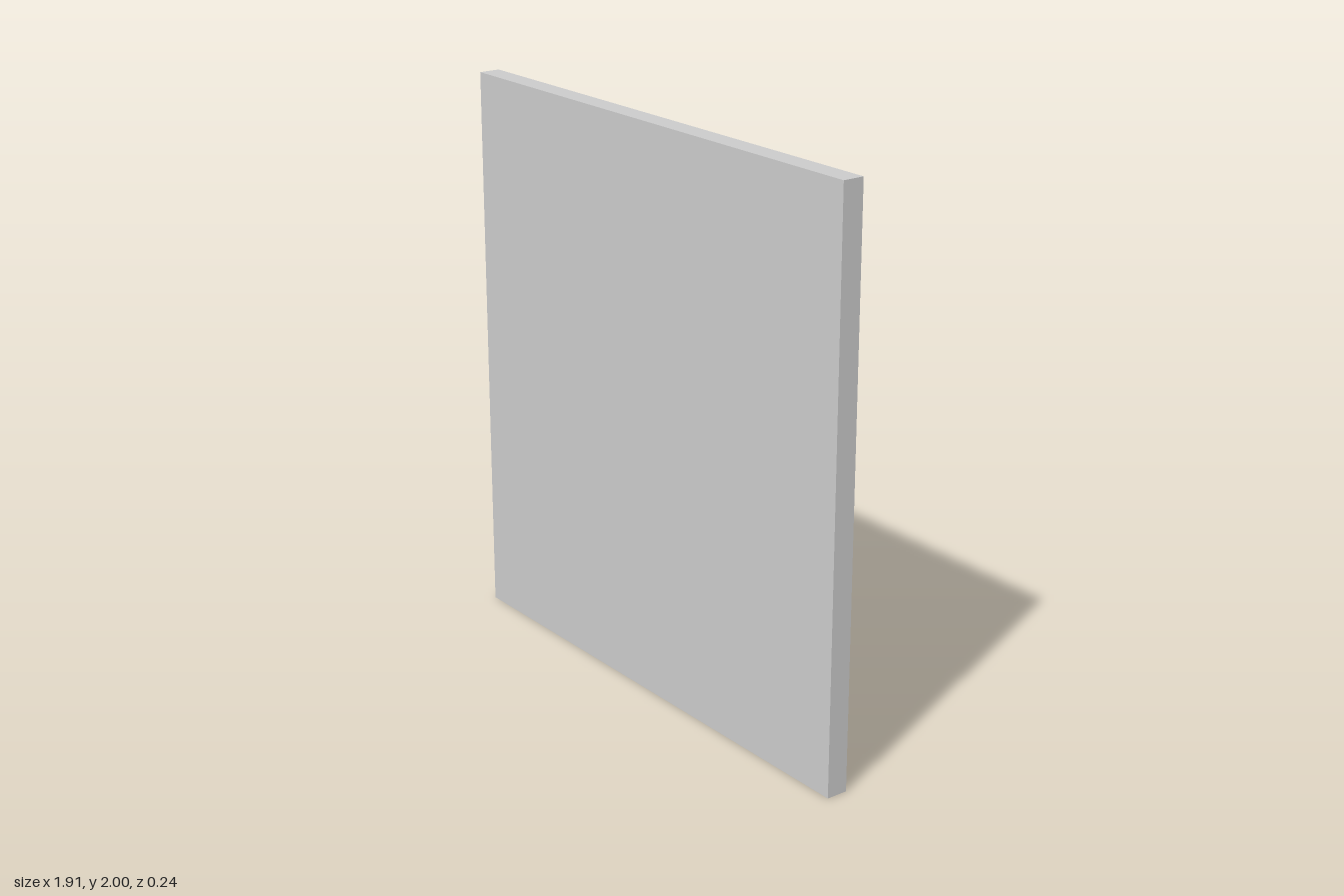
import * as THREE from 'three';

export function createModel() {
  const model = new THREE.Group();
  model.name = 'cabinetDoor';
  const material = new THREE.MeshStandardMaterial({ color: 0xcccccc, flatShading: true });

  // Flat door panel
  const panel = new THREE.Mesh(new THREE.BoxGeometry(1.91, 2, 0.076), material);
  panel.name = 'doorPanel';
  panel.position.set(0, 1, 0.082);
  model.add(panel);

  // C-shaped pull handle: side profile (z, y) extruded across its width
  const width = 0.09;
  const back = -0.12, grip = -0.055, face = 0.044;
  const profile = new THREE.Shape([
    [face, 0.675], [face, 0.757], [grip, 0.757], [grip, 1.3],
    [face, 1.3], [face, 1.385], [back, 1.385], [back, 0.675],
  ].map(([z, y]) => new THREE.Vector2(z, y)));
  const geometry = new THREE.ExtrudeGeometry(profile, { depth: width, bevelEnabled: false });
  geometry.translate(0, 0, -width / 2).rotateY(-Math.PI / 2);
  const handle = new THREE.Mesh(geometry, material);
  handle.name = 'pullHandle';
  handle.position.x = -0.743;
  model.add(handle);

  return model;
}
